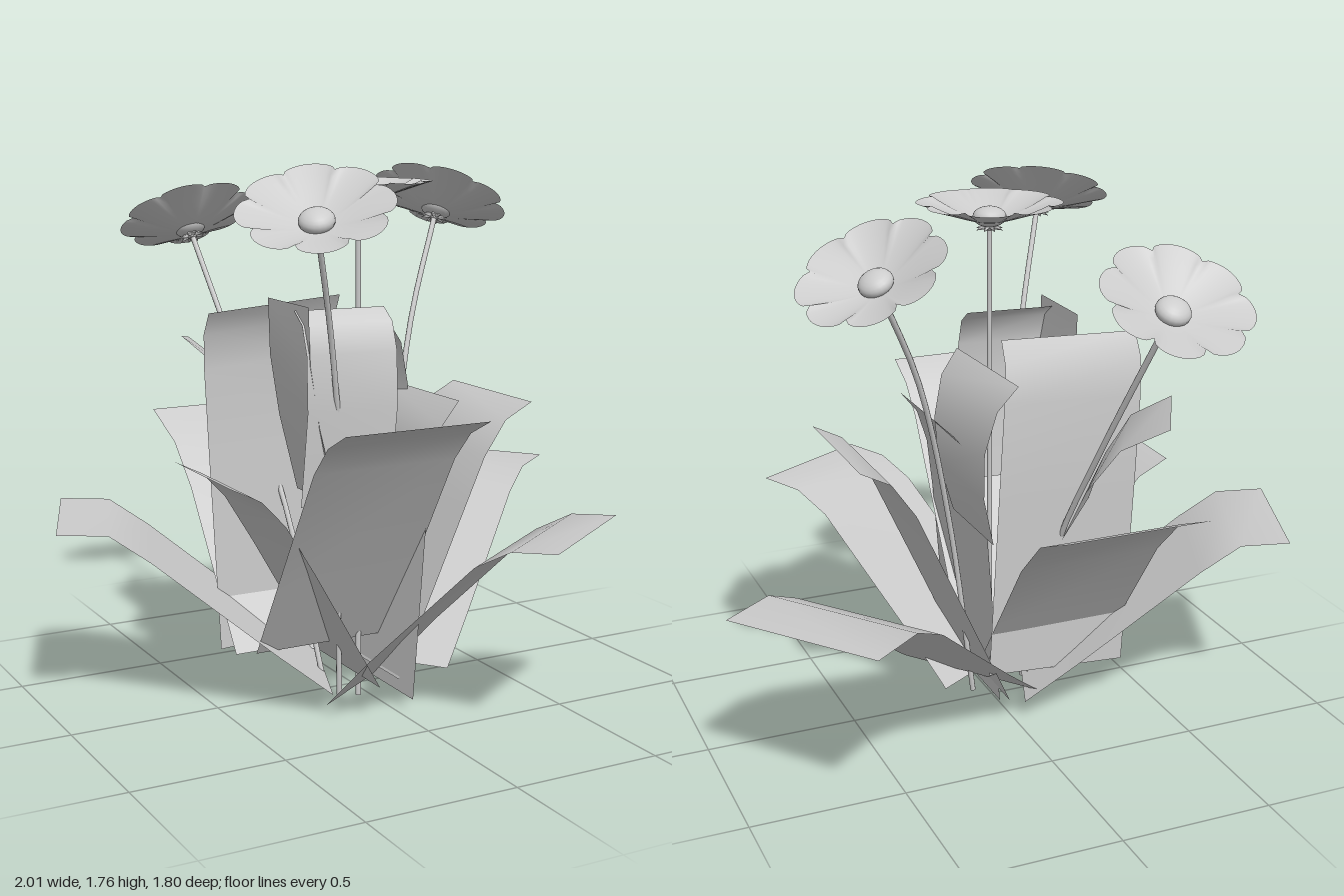
import * as THREE from 'three';

const material = new THREE.MeshStandardMaterial({ color: 0xcccccc, side: THREE.DoubleSide });
const V = (x, y, z) => new THREE.Vector3(x, y, z);

function mesh(name, geometry) {
  const m = new THREE.Mesh(geometry, material);
  m.name = name;
  return m;
}

// Grid of rows x columns from a function p(u, v) with u, v in 0..1
function grid(rows, cols, p) {
  const pos = [], idx = [];
  for (let i = 0; i <= rows; i++) {
    for (let j = 0; j <= cols; j++) {
      pos.push(...p(i / rows, j / cols).toArray());
      if (i < rows && j < cols) {
        const a = i * (cols + 1) + j, b = a + cols + 1;
        idx.push(a, b, a + 1, b, b + 1, a + 1);
      }
    }
  }
  const g = new THREE.BufferGeometry();
  g.setAttribute('position', new THREE.Float32BufferAttribute(pos, 3));
  g.setIndex(idx);
  g.computeVertexNormals();
  return g;
}

// Thin strip with one row per centre point; the side vector spans its full width
function ribbon(name, points, side, sideEnd = side) {
  const s0 = V(...side), s1 = V(...sideEnd), last = points.length - 1;
  return mesh(name, grid(last, 1, (u, v) =>
    V(...points[Math.round(u * last)]).addScaledVector(s0.clone().lerp(s1, u), v - 0.5)));
}

// Large leaf leaning out from its base centre: profile lists [distance, height]
function bigLeaf(name, [bx, bz], [dx, dz], width, profile, roll = 0) {
  const n = Math.hypot(dx, dz);
  dx /= n; dz /= n;
  return ribbon(name, profile.map(([r, y]) => [bx + dx * r, y, bz + dz * r]),
    [-dz * width, roll, dx * width]);
}

// Flower: shallow bowl of eight petals with a scalloped rim, central dome and sepals, facing +y
function flower() {
  const g = new THREE.Group();
  g.name = 'flower';
  g.add(mesh('petals', grid(8, 96, (u, v) => {
    const a = v * Math.PI * 2;
    const lobe = Math.sqrt(Math.abs(Math.sin(a * 4)));
    const r = 0.005 + u * (0.195 + 0.036 * lobe * u * u);
    const y = 0.07 * Math.pow(u, 1.5) - 0.004 * lobe * u ** 4;
    return V(Math.cos(a) * r, y, -Math.sin(a) * r);
  })));
  const dome = mesh('flowerCentre', new THREE.SphereGeometry(0.055, 20, 12));
  dome.scale.y = 0.6;
  dome.position.y = 0.02;
  g.add(dome);
  const calyx = mesh('calyx', new THREE.CylinderGeometry(0.035, 0.012, 0.03, 10));
  calyx.position.y = -0.008;
  g.add(calyx);
  for (let i = 0; i < 8; i++) {
    const holder = new THREE.Group();
    holder.name = 'sepal';
    holder.rotation.y = i * Math.PI / 4;
    const sepal = mesh('sepalBlade', new THREE.ConeGeometry(0.011, 0.035, 4));
    sepal.position.set(0.03, -0.016, 0);
    sepal.rotation.z = -1.9;
    holder.add(sepal);
    g.add(holder);
  }
  return g;
}

// Stem through the given points, with a flower facing along its end
function floweringStem(points, facing) {
  const g = new THREE.Group();
  g.name = 'floweringStem';
  const curve = new THREE.CatmullRomCurve3(points.map((p) => V(...p)));
  g.add(mesh('stem', new THREE.TubeGeometry(curve, 16, 0.0095, 8)));
  const f = flower();
  f.position.set(...points[points.length - 1]);
  f.quaternion.setFromUnitVectors(V(0, 1, 0), V(...facing).normalize());
  g.add(f);
  return g;
}

export function createModel() {
  const model = new THREE.Group();
  model.name = 'floweringPlant';

  // Four flowers on slender stems
  model.add(
    floweringStem([[-0.037, 0, 0.105], [-0.037, 0.8, 0.105], [-0.037, 1.63, 0.105]], [0, 1, 0]),
    floweringStem([[0.07, 0.03, 0], [0.16, 0.66, -0.03], [0.305, 1.2, -0.15], [0.475, 1.555, -0.275]],
      [0.44, 0.85, -0.28]),
    floweringStem([[-0.13, 0.03, 0.04], [-0.17, 0.6, -0.16], [-0.21, 0.95, -0.35], [-0.28, 1.49, -0.67]],
      [-0.03, 0.85, -0.52]),
    floweringStem([[-0.13, 0.03, 0.147], [-0.145, 0.4, 0.17], [-0.17, 0.8, 0.235], [-0.24, 1.22, 0.31],
      [-0.36, 1.59, 0.45]], [-0.28, 0.87, 0.4]),
  );

  // Low spreading leaves
  model.add(
    bigLeaf('backLeftSpreadingLeaf', [0.07, 0.02], [0.79, -0.61], 0.535,
      [[0, 0.085], [0.2, 0.23], [0.62, 0.555], [0.76, 0.62], [0.97, 0.623]]),
    bigLeaf('rightSpreadingLeaf', [-0.115, 0.01], [-0.936, -0.35], 0.497,
      [[0, 0.07], [0.18, 0.21], [0.57, 0.53], [0.7, 0.622], [0.86, 0.63]]),
    bigLeaf('frontLeftSpreadingLeaf', [-0.028, 0.12], [0.54, 0.84], 0.48,
      [[0, 0.05], [0.155, 0.22], [0.51, 0.575], [0.63, 0.64], [0.78, 0.653]], -0.013),
  );

  // Steeper leaves
  model.add(
    bigLeaf('frontLeaf', [-0.163, 0.1], [0, 1], 0.485,
      [[0, 0.2], [0.14, 0.43], [0.41, 0.87], [0.5, 0.965], [0.61, 1.02]]),
    bigLeaf('leftLeaf', [0.03, 0.015], [1, 0], 0.49,
      [[0, 0.09], [0.25, 0.645], [0.32, 0.8], [0.4, 0.915], [0.5, 0.967]]),
    bigLeaf('rightLeaf', [-0.09, 0.125], [-1, 0], 0.45,
      [[0, 0.11], [0.23, 0.515], [0.33, 0.68], [0.41, 0.765], [0.51, 0.815]]),
    bigLeaf('backLeaf', [-0.167, -0.055], [0, -1], 0.48,
      [[0, 0.15], [0.145, 0.35], [0.355, 0.64], [0.495, 0.775], [0.69, 0.86]]),
    bigLeaf('innerLeftLeaf', [0.03, 0.105], [1, 0], 0.495,
      [[0, 0.05], [0.045, 0.65], [0.065, 0.83], [0.1, 0.94], [0.16, 1.015]]),
    ribbon('tallBackLeaf',
      [[-0.165, 0.15, -0.17], [-0.19, 0.8, -0.19], [-0.205, 1.1, -0.19],
        [-0.215, 1.22, -0.17], [-0.22, 1.295, -0.12]],
      [0.49, 0.03, 0], [0.49, 0.03, -0.035]),
  );

  // Narrow leaves growing from the stems
  model.add(
    ribbon('leftStemLeaf',
      [[0.1, 0.67, -0.08], [0.155, 0.85, -0.115], [0.165, 1.01, -0.125], [0.135, 1.15, -0.135],
        [0.075, 1.23, -0.14]],
      [0.02, 0.02, 0.3], [0.055, 0.03, 0.37]),
    ribbon('backStemLeaf',
      [[-0.175, 0.73, -0.28], [-0.22, 0.9, -0.33], [-0.28, 1.05, -0.41], [-0.365, 1.145, -0.54]],
      [0.17, -0.06, -0.16], [0.11, -0.035, -0.2]),
    ribbon('frontStemLeaf',
      [[-0.16, 0.7, 0.25], [-0.15, 1.0, 0.28], [-0.15, 1.18, 0.275], [-0.15, 1.27, 0.245],
        [-0.15, 1.31, 0.19]],
      [0.3, 0, 0.03]),
    ribbon('rightStemLeaf',
      [[-0.2, 0.7, 0.13], [-0.26, 0.95, 0.125], [-0.29, 1.15, 0.122], [-0.295, 1.33, 0.122]],
      [0, 0, 0.285]),
  );
  return model;
}
